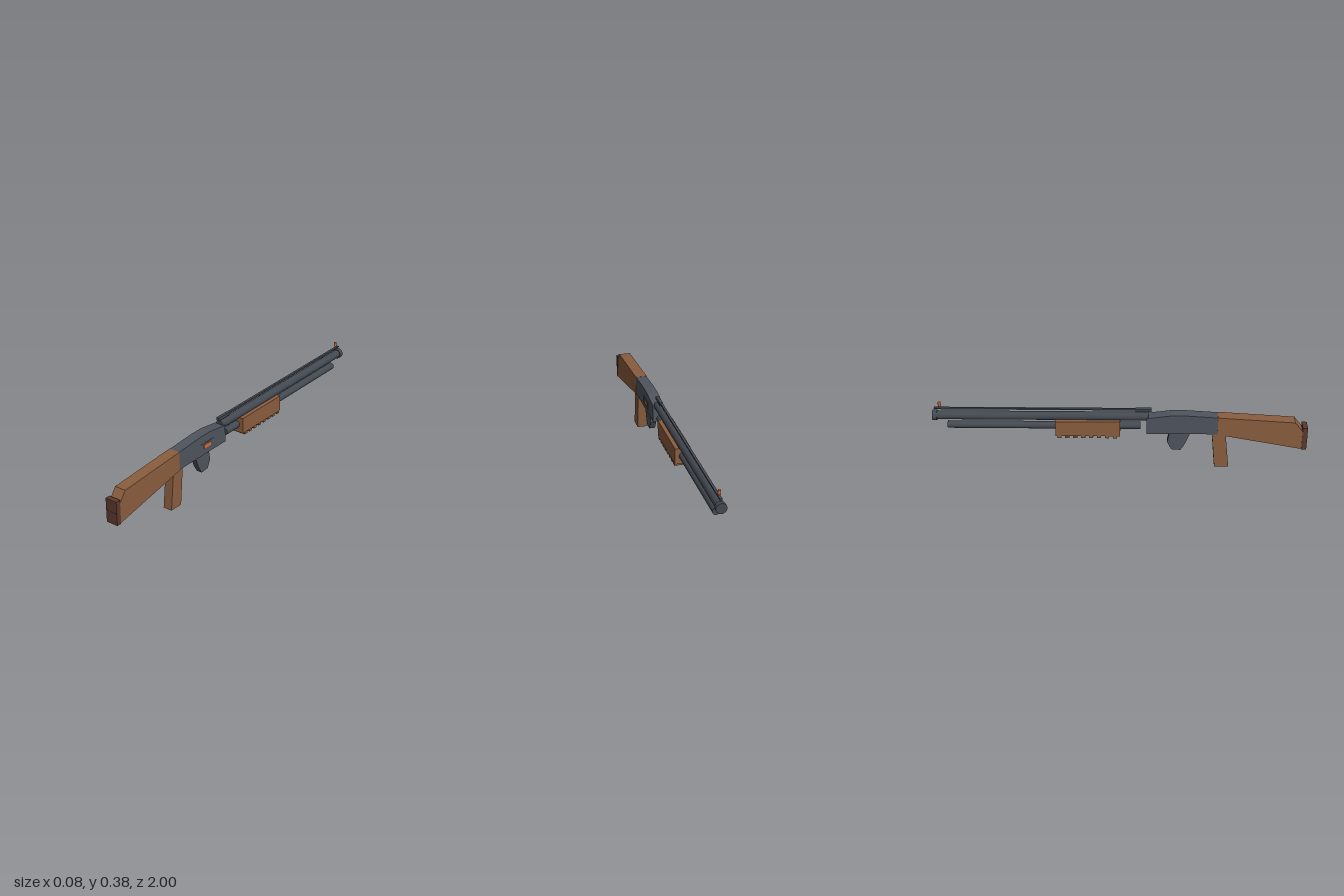
import * as THREE from 'three';

const mat = (name, color) => Object.assign(new THREE.MeshStandardMaterial({ color }), { name });

export function createModel() {
  const root = new THREE.Group();
  const wood = mat('walnut', 0x8b5e3f);
  const pad = mat('darkRubber', 0x5c3a2e);
  const steel = mat('receiverSteel', 0x50555e);
  const blued = mat('bluedSteel', 0x434951);
  const copper = mat('copper', 0xcc6b3d);

  const add = (name, geo, material, x = 0, y = 0, z = 0, parent = root) => {
    const m = new THREE.Mesh(geo, material);
    m.name = name;
    m.position.set(x, y, z);
    parent.add(m);
    return m;
  };
  // Side profile given as [z, y] points, extruded across x
  const slab = (name, pts, width, material) => {
    const shape = new THREE.Shape(pts.map(p => new THREE.Vector2(p[0], p[1])));
    const geo = new THREE.ExtrudeGeometry(shape, { depth: width, bevelEnabled: false });
    geo.translate(0, 0, -width / 2).rotateY(-Math.PI / 2);
    return add(name, geo, material);
  };
  // Box and tube placed by their extents
  const box = (name, w, y0, y1, z0, z1, material, x = 0, parent = root) =>
    add(name, new THREE.BoxGeometry(w, y1 - y0, z1 - z0), material, x, (y0 + y1) / 2, (z0 + z1) / 2, parent);
  const tube = (name, r, y, z0, z1, material) =>
    add(name, new THREE.CylinderGeometry(r, r, z1 - z0, 24).rotateX(Math.PI / 2), material, 0, y, (z0 + z1) / 2);

  // Shoulder stock and its pad
  slab('stock', [[0.52, 0.208], [0.972, 0.122], [0.972, 0.232], [0.93, 0.286], [0.52, 0.313]], 0.064, wood);
  box('buttPad', 0.068, 0.12, 0.253, 0.972, 0.999, pad);
  box('buttPadLine', 0.066, 0.186, 0.188, 0.998, 1.0, pad);

  // Grip below the stock
  slab('grip', [[0.587, 0], [0.51, 0], [0.49, 0.212], [0.563, 0.212]], 0.052, wood);

  // Receiver with trigger piece
  slab('receiver', [[0.14, 0.21], [0.52, 0.21], [0.52, 0.312], [0.35, 0.323], [0.27, 0.323], [0.14, 0.305]], 0.06, steel);
  slab('trigger', [[0.376, 0.212], [0.35, 0.143], [0.325, 0.1], [0.275, 0.104], [0.252, 0.15], [0.264, 0.212]], 0.032, steel);

  // Side port with a copper insert on the left
  box('portFrame', 0.004, 0.236, 0.276, 0.242, 0.346, steel, 0.03);
  box('portInsert', 0.003, 0.245, 0.267, 0.268, 0.322, copper, 0.0325);

  // Barrel, muzzle ring and magazine tube
  tube('barrel', 0.0235, 0.303, -0.99, 0.15, blued);
  tube('muzzleRing', 0.028, 0.302, -1.0, -0.975, blued);
  tube('magazineTube', 0.02, 0.245, -0.922, 0.108, blued);

  // Sliding fore-end with ribs underneath
  const foreEnd = new THREE.Group();
  foreEnd.name = 'foreEnd';
  root.add(foreEnd);
  box('foreEndBody', 0.082, 0.2, 0.289, -0.345, 0, wood, 0, foreEnd);
  for (let i = 0; i < 8; i++) {
    const z = -0.325 + i * 0.0425;
    box('foreEndRib', 0.084, 0.188, 0.202, z - 0.011, z + 0.011, wood, 0, foreEnd);
  }

  // Sighting rail, rear sight and front bead
  box('sightRail', 0.013, 0.341, 0.349, -0.99, 0.165, blued);
  box('rearSight', 0.017, 0.333, 0.35, 0.08, 0.165, blued);
  add('frontBead', new THREE.CylinderGeometry(0.008, 0.008, 0.024, 12), copper, 0, 0.369, -0.96);

  return root;
}
